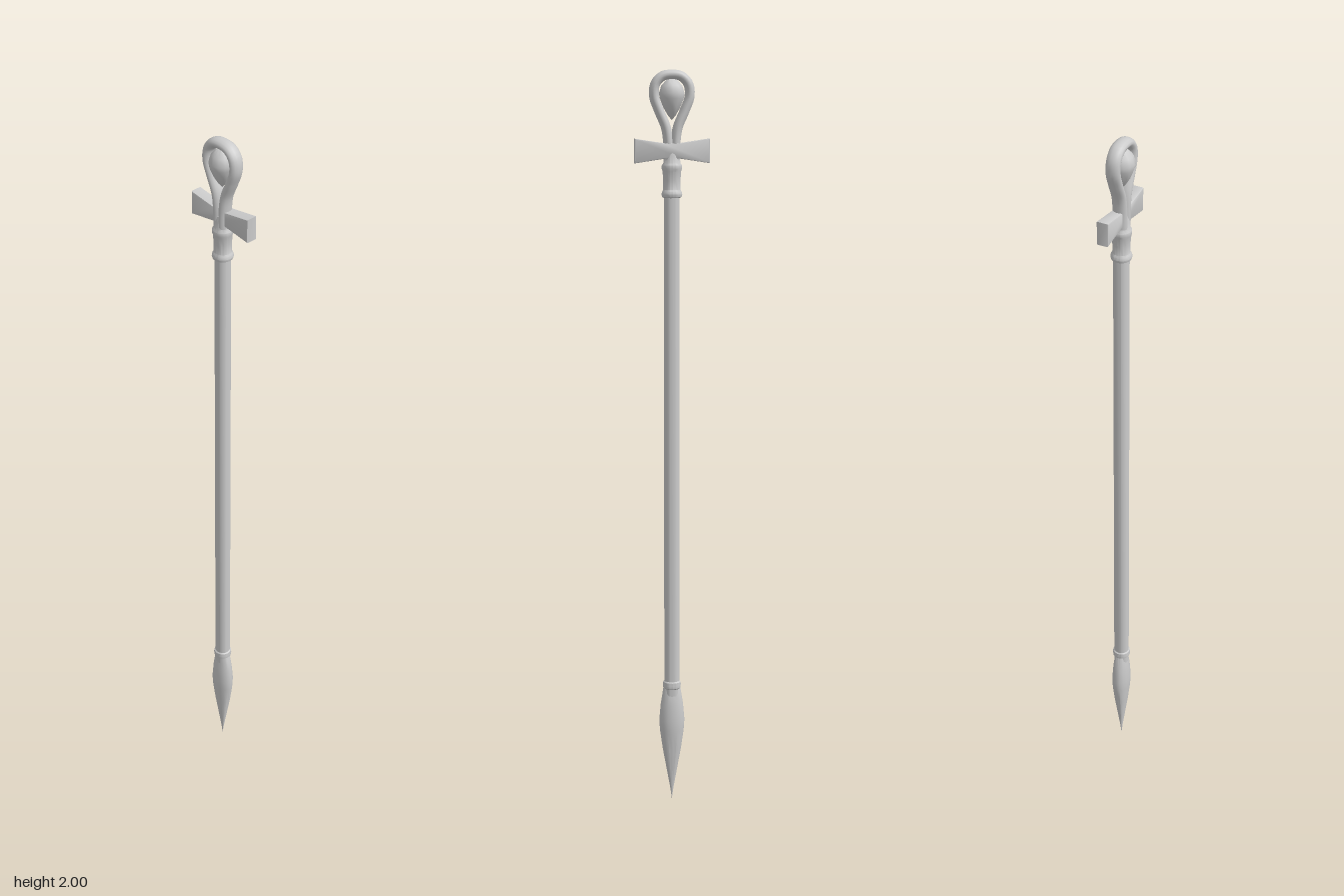
import * as THREE from 'three';
import { toCreasedNormals } from 'three/addons/utils/BufferGeometryUtils.js';

const grey = new THREE.MeshStandardMaterial({ color: 0xcccccc, side: THREE.DoubleSide });

export function createModel() {
  const group = new THREE.Group();
  const Z = -0.003;

  const add = (name, geometry, z = Z, scaleZ = 1) => {
    const mesh = new THREE.Mesh(geometry, grey);
    mesh.name = name;
    mesh.position.z = z;
    mesh.scale.z = scaleZ;
    group.add(mesh);
    return mesh;
  };
  // Turned part from [radius, height] pairs, listed bottom to top
  const turned = (profile, sides, crease = 0.6) => toCreasedNormals(
    new THREE.LatheGeometry(profile.map(([r, y]) => new THREE.Vector2(r, y)), sides), crease);

  // Long straight pole
  add('shaft', turned([[0.021, 0.3], [0.021, 1.7]], 16));

  // Flattened spear point with its binding ring
  add('spearPoint', turned([
    [0, 0], [0.004, 0.03], [0.014, 0.085], [0.025, 0.145], [0.033, 0.2],
    [0.035, 0.23], [0.031, 0.275], [0.023, 0.325], [0.021, 0.33],
  ], 16), Z, 0.72);
  add('pointRing', turned([
    [0.02, 0.318], [0.024, 0.322], [0.025, 0.33], [0.024, 0.338], [0.02, 0.342],
  ], 16));

  // Collar with a flared rim at the foot and a band near the top
  add('collar', turned([
    [0.02, 1.664], [0.026, 1.667], [0.028, 1.674], [0.026, 1.681], [0.023, 1.686],
    [0.023, 1.71], [0.025, 1.735], [0.027, 1.741], [0.027, 1.75], [0.023, 1.756],
    [0.021, 1.775], [0.017, 1.79], [0, 1.8],
  ], 20));

  // Flaring cross arms
  const half = [[0, 0.016], [0.02, 0.017], [0.097, 0.029], [0.097, -0.029], [0.02, -0.017], [0, -0.016]];
  const outline = [...half, ...half.slice(1, -1).reverse().map(([x, y]) => [-x, y])];
  const arms = new THREE.ExtrudeGeometry(
    new THREE.Shape(outline.map(([x, y]) => new THREE.Vector2(x, y + 1.788))),
    { depth: 0.026, bevelThickness: 0.003, bevelSize: 0.003, bevelSegments: 2 });
  arms.translate(0, 0, -0.013);
  add('crossArms', toCreasedNormals(arms, 0.5), -0.006);

  // Teardrop loop whose two legs merge into the stem
  const leg = [[0.009, 1.76], [0.01, 1.81], [0.016, 1.85], [0.034, 1.893], [0.047, 1.93], [0.044, 1.962], [0.026, 1.982]];
  const points = [
    ...leg.map(([x, y]) => new THREE.Vector3(-x, y, 0)),
    new THREE.Vector3(0, 1.987, 0),
    ...leg.slice().reverse().map(([x, y]) => new THREE.Vector3(x, y, 0)),
  ];
  add('loop', new THREE.TubeGeometry(new THREE.CatmullRomCurve3(points), 64, 0.013, 14), -0.002, 1.5);

  // Drop-shaped gem held inside the loop
  add('gem', turned([
    [0, 1.868], [0.01, 1.88], [0.022, 1.9], [0.032, 1.925], [0.034, 1.938],
    [0.028, 1.958], [0.014, 1.973], [0, 1.978],
  ], 12, 0.7), -0.001);

  return group;
}
